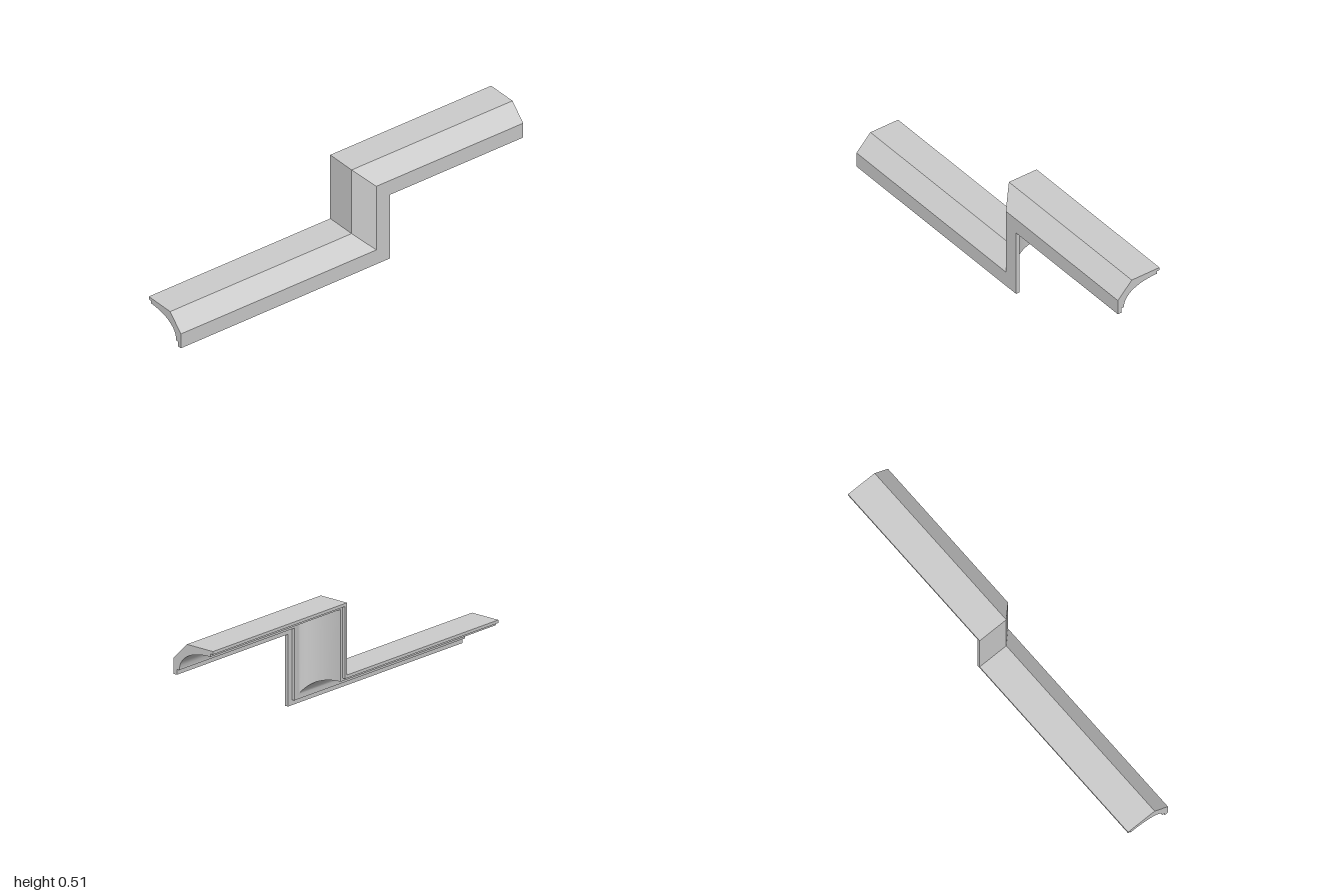
import * as THREE from 'three';
import { toCreasedNormals } from 'three/addons/utils/BufferGeometryUtils.js';

// Moulding section as (z, depth below the top face)
function mouldingProfile() {
  const cove = new THREE.CubicBezierCurve(
    new THREE.Vector2(0.085, 0.135), new THREE.Vector2(0.085, 0.07),
    new THREE.Vector2(0.013, 0.029), new THREE.Vector2(-0.105, 0.029));
  const v = (z, d) => new THREE.Vector2(z, d);
  return [
    v(-0.12, 0), v(0.04, 0), v(0.12, 0.082), v(0.12, 0.161), // top, bevel, face
    v(0.1, 0.161), v(0.1, 0.135),                            // front lip step
    ...cove.getPoints(28),                                   // hollow underside
    v(-0.105, 0.015), v(-0.12, 0.015),                       // back lip step
  ];
}

// Mitred stations along the stepped run: each maps a depth to (x, y)
const stations = [
  (d) => [-1, 0.161 - d],
  (d) => [0.06 + d, 0.161 - d],
  (d) => [0.06 + d, 0.512 - d],
  (d) => [1, 0.512 - d],
];

function sweepMoulding() {
  const profile = mouldingProfile();
  const n = profile.length;
  const rings = stations.map((at) => profile.map((p) => [...at(p.y), p.x]));
  const positions = [];
  const tri = (a, b, c) => positions.push(...a, ...b, ...c);

  // Side walls between neighbouring stations
  for (let s = 0; s < rings.length - 1; s++) {
    const a = rings[s], b = rings[s + 1];
    for (let i = 0; i < n; i++) {
      const j = (i + 1) % n;
      tri(a[i], a[j], b[j]);
      tri(a[i], b[j], b[i]);
    }
  }

  // Flat end caps
  const first = rings[0], last = rings[rings.length - 1];
  for (const face of THREE.ShapeUtils.triangulateShape(profile, [])) {
    const area = THREE.ShapeUtils.area(face.map((i) => profile[i]));
    const [i, j, k] = area > 0 ? face : [face[0], face[2], face[1]];
    tri(last[i], last[j], last[k]);
    tri(first[i], first[k], first[j]);
  }

  const geometry = new THREE.BufferGeometry();
  geometry.setAttribute('position', new THREE.Float32BufferAttribute(positions, 3));
  return toCreasedNormals(geometry, 0.5);
}

export function createModel() {
  const group = new THREE.Group();
  group.name = 'steppedCornice';
  const moulding = new THREE.Mesh(
    sweepMoulding(), new THREE.MeshStandardMaterial({ color: 0xcccccc }));
  moulding.name = 'moulding';
  group.add(moulding);
  return group;
}
